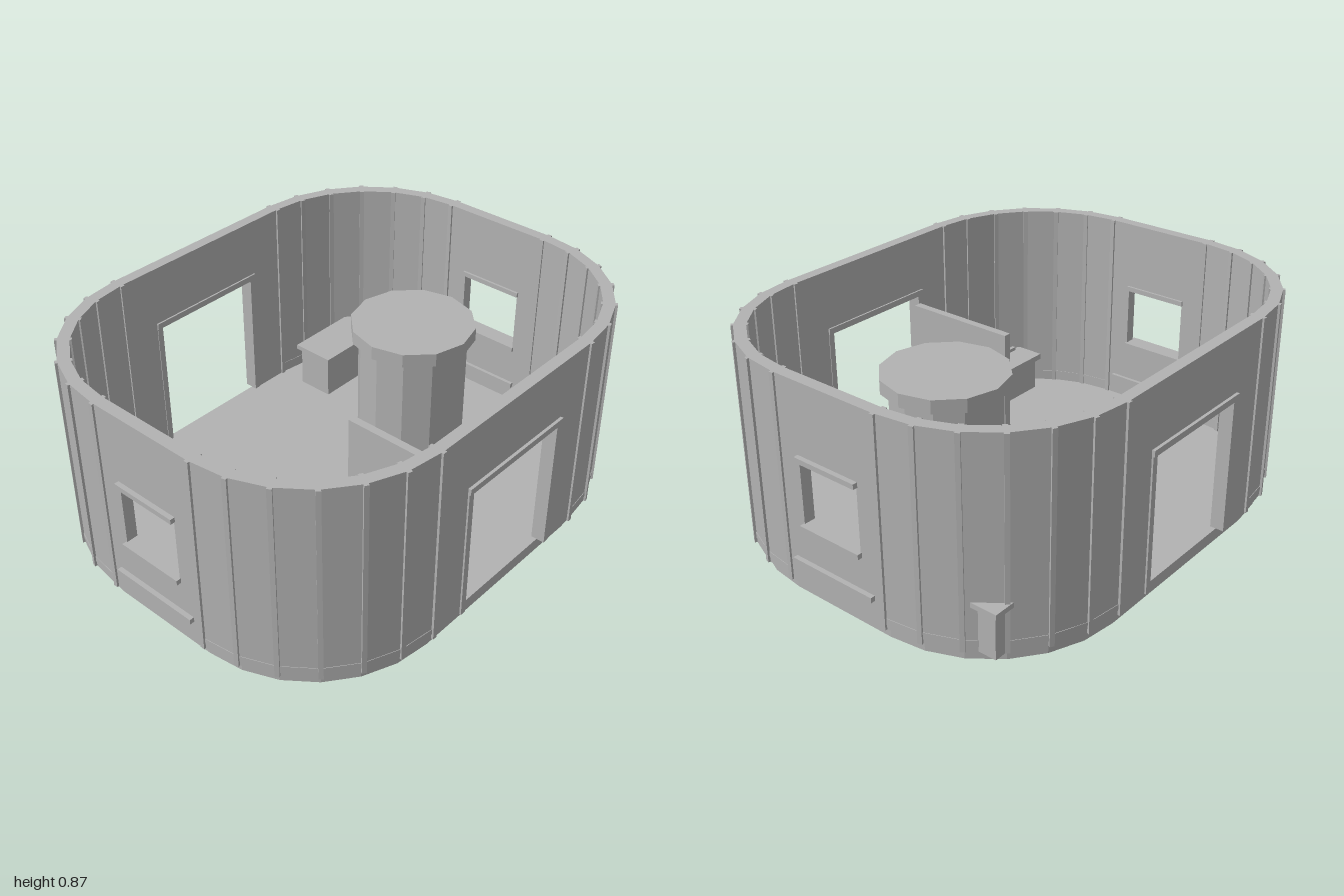
import * as THREE from 'three';

const CX = 0.42, CZ = 0.23;          // centres of the rounded corners
const OUTER = 0.561, INNER = 0.515;  // wall radii
const FLOOR = 0.05, TOP = 0.865;
const STEPS = 6;

export function createModel() {
  const root = new THREE.Group();
  const grey = new THREE.MeshStandardMaterial({ color: 0xb2b2b2 });
  grey.name = 'plain grey';

  const add = (name, geometry, parent = root) => {
    const mesh = new THREE.Mesh(geometry, grey);
    mesh.name = name;
    parent.add(mesh);
    return mesh;
  };
  const group = (name) => {
    const g = new THREE.Group();
    g.name = name;
    root.add(g);
    return g;
  };
  // box given by its limits on each axis
  const block = (name, x0, x1, y0, y1, z0, z1, parent) => {
    const m = add(name, new THREE.BoxGeometry(x1 - x0, y1 - y0, z1 - z0), parent);
    m.position.set((x0 + x1) / 2, (y0 + y1) / 2, (z0 + z1) / 2);
    return m;
  };
  // upright prism over a plan outline of [x, z] points
  const prism = (name, points, y0, y1, parent) => {
    const shape = new THREE.Shape(points.map(([x, z]) => new THREE.Vector2(x, -z)));
    const g = new THREE.ExtrudeGeometry(shape, { depth: y1 - y0, bevelEnabled: false });
    g.rotateX(-Math.PI / 2).translate(0, y0, 0);
    return add(name, g, parent);
  };
  // point on a corner arc: step 0 touches the front/back, the last step the side
  const arc = (sx, sz, i, r) => {
    const a = (i / STEPS) * Math.PI / 2;
    return [sx * (CX + r * Math.sin(a)), sz * (CZ + r * Math.cos(a))];
  };

  // floor slab
  const outline = [];
  for (const [sx, sz] of [[1, 1], [1, -1], [-1, -1], [-1, 1]])
    for (let i = 0; i <= STEPS; i++)
      outline.push(arc(sx, sz, sx === sz ? i : STEPS - i, 0.536));
  prism('floorSlab', outline, 0, FLOOR);

  // curved corners: flat panels, seam ribs and a low skirting strip
  const corners = group('cornerWalls');
  for (const sx of [-1, 1]) for (const sz of [-1, 1]) {
    for (let i = 0; i < STEPS; i++) {
      const strip = (name, r0, r1, y0, y1) => prism(name, [
        arc(sx, sz, i, r0), arc(sx, sz, i + 1, r0),
        arc(sx, sz, i + 1, r1), arc(sx, sz, i, r1)], y0, y1, corners);
      strip('wallPanel', INNER, OUTER, FLOOR, TOP);
      strip('skirting', INNER - 0.002, OUTER + 0.002, 0.07, 0.095);
    }
    for (let i = 0; i <= STEPS; i++) {
      const [x, z] = arc(sx, sz, i, (INNER + OUTER) / 2);
      const rib = add('seamRib', new THREE.BoxGeometry(0.018, TOP - FLOOR, OUTER - INNER + 0.016), corners);
      rib.position.set(x, (TOP + FLOOR) / 2, z);
      rib.rotation.y = Math.atan2(sx * Math.sin(i / STEPS * Math.PI / 2), sz * Math.cos(i / STEPS * Math.PI / 2));
    }
  }

  // front and back walls with doorways
  const DW = 0.245, DH = 0.60;
  const doorWall = new THREE.Shape([
    [-CX, FLOOR], [-DW, FLOOR], [-DW, DH], [DW, DH], [DW, FLOOR], [CX, FLOOR], [CX, TOP], [-CX, TOP],
  ].map(([x, y]) => new THREE.Vector2(x, y)));
  for (const s of [1, -1]) {
    const g = group(s > 0 ? 'frontWall' : 'backWall');
    const wall = new THREE.ExtrudeGeometry(doorWall, { depth: OUTER - INNER, bevelEnabled: false });
    add('doorWall', wall.translate(0, 0, CZ + INNER), g);
    block('lintel', -0.27, 0.27, DH, 0.625, 0.738, 0.803, g);
    for (const x of [-0.2575, 0.2575])
      block('doorJamb', x - 0.0125, x + 0.0125, FLOOR, DH, 0.742, 0.798, g);
    if (s < 0) g.rotation.y = Math.PI;
  }

  // side walls with windows, sills and rails
  const sideWall = new THREE.Shape([
    [-CZ, FLOOR], [CZ, FLOOR], [CZ, TOP], [-CZ, TOP],
  ].map(([x, y]) => new THREE.Vector2(x, y)));
  sideWall.holes.push(new THREE.Path([
    [-0.135, 0.315], [-0.135, 0.565], [0.135, 0.565], [0.135, 0.315],
  ].map(([x, y]) => new THREE.Vector2(x, y))));
  for (const s of [1, -1]) {
    const g = group(s > 0 ? 'leftWall' : 'rightWall');
    const wall = new THREE.ExtrudeGeometry(sideWall, { depth: OUTER - INNER, bevelEnabled: false });
    add('windowWall', wall.translate(0, 0, CX + INNER), g);
    block('windowHead', -0.14, 0.14, 0.565, 0.585, 0.925, 1.0, g);
    block('windowSill', -0.14, 0.14, 0.295, 0.315, 0.925, 1.0, g);
    block('outerRail', -0.19, 0.19, 0.145, 0.165, 0.975, 1.0, g);
    block('innerRail', -0.175, 0.175, 0.145, 0.165, 0.885, 0.90, g);
    g.rotation.y = s * Math.PI / 2;
  }

  // open door leaf
  block('openDoor', -0.21, -0.178, FLOOR, 0.59, 0.21, 0.70);

  // round column with plinth and cap
  const column = group('column');
  column.position.set(0.342, 0, 0.055);
  for (const [name, r, y0, y1] of [
    ['plinth', 0.245, FLOOR, 0.115], ['shaft', 0.215, 0.115, 0.63], ['cap', 0.245, 0.63, 0.685],
  ]) {
    const g = new THREE.CylinderGeometry(r, r, y1 - y0, 12).toNonIndexed();
    g.computeVertexNormals();
    add(name, g, column).position.y = (y0 + y1) / 2;
  }

  // counter running through the back corner
  const counter = group('counter');
  block('counterTop', 0.41, 0.89, 0.225, 0.245, -0.64, -0.455, counter);
  block('counterBody', 0.425, 0.875, FLOOR, 0.225, -0.625, -0.47, counter);

  // bench in the front corner
  const bench = group('bench');
  block('benchSeat', -0.765, -0.315, 0.19, 0.215, 0.49, 0.65, bench);
  block('benchBody', -0.745, -0.335, FLOOR, 0.19, 0.505, 0.635, bench);
  block('benchRail', -0.725, -0.355, 0.215, 0.23, 0.605, 0.62, bench);

  return root;
}
